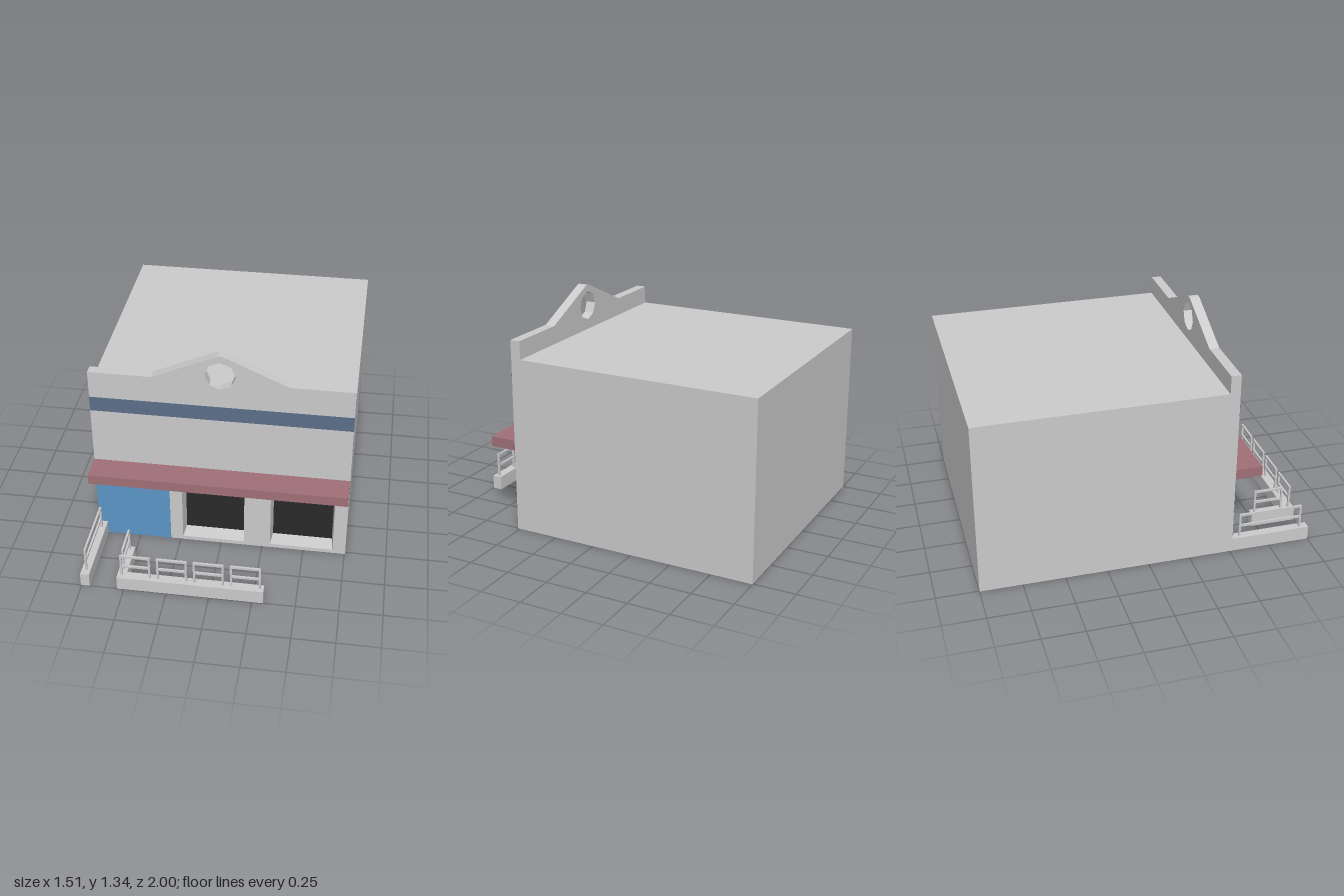
import * as THREE from 'three';

const paint = (color) => new THREE.MeshStandardMaterial({ color, flatShading: true });
const grey = paint(0xcccccc), blue = paint(0x5b96c8), navy = paint(0x5b6f8a);
const red = paint(0xa07077), dark = paint(0x2a2a2a);

const W = 0.755, FRONT = 0.515, INNER = 0.42, ROOF = 1.06;

function add(parent, name, geometry, material = grey) {
  const mesh = new THREE.Mesh(geometry, material);
  mesh.name = name;
  parent.add(mesh);
  return mesh;
}

// Box given by its lower and upper limits on each axis
function block(parent, name, x0, x1, y0, y1, z0, z1, material) {
  const mesh = add(parent, name, new THREE.BoxGeometry(x1 - x0, y1 - y0, z1 - z0), material);
  mesh.position.set((x0 + x1) / 2, (y0 + y1) / 2, (z0 + z1) / 2);
  return mesh;
}

const outline = (points) => points.map(([x, y]) => new THREE.Vector2(x, y));
const corners = (x0, x1, y0, y1) => [[x0, y0], [x1, y0], [x1, y1], [x0, y1]];

function plate(parent, name, points, holes, z0, z1) {
  const shape = new THREE.Shape(outline(points));
  shape.holes = holes.map((h) => new THREE.Path(outline(h)));
  const geometry = new THREE.ExtrudeGeometry(shape, { depth: z1 - z0, bevelEnabled: false });
  add(parent, name, geometry).position.z = z0;
}

// Recessed window with slightly tapering reveals
function addWindow(parent, x0, x1, y0, y1) {
  const group = new THREE.Group();
  group.name = 'shopWindow';
  parent.add(group);
  const back = INNER + 0.01;
  const inner = [x0 + 0.01, x1 - 0.01, y0 + 0.015, y1 - 0.01];
  const outerRing = corners(x0, x1, y0, y1).map(([x, y]) => [x, y, FRONT]);
  const innerRing = corners(...inner).map(([x, y]) => [x, y, back]);
  const positions = [];
  for (let i = 0; i < 4; i++) {
    const j = (i + 1) % 4;
    positions.push(...outerRing[i], ...outerRing[j], ...innerRing[j],
      ...outerRing[i], ...innerRing[j], ...innerRing[i]);
  }
  const reveal = new THREE.BufferGeometry();
  reveal.setAttribute('position', new THREE.Float32BufferAttribute(positions, 3));
  reveal.computeVertexNormals();
  add(group, 'windowReveal', reveal);
  block(group, 'windowGlass', ...inner, back - 0.005, back, dark);
}

// Two-post railing of given length along x, with a top and a middle rail
function addRailing(parent, length, x, z, turned) {
  const group = new THREE.Group();
  group.name = 'railing';
  const h = length / 2, t = 0.006;
  for (const s of [-1, 1]) {
    const px = s * (h - t);
    block(group, 'railingPost', px - t, px + t, 0.08, 0.22, -t, t);
  }
  block(group, 'topRail', -h, h, 0.22, 0.233, -t, t);
  block(group, 'middleRail', -h + 2 * t, h - 2 * t, 0.148, 0.161, -t, t);
  group.position.set(x, 0, z);
  if (turned) group.rotation.y = Math.PI / 2;
  parent.add(group);
}

export function createModel() {
  const model = new THREE.Group();
  model.name = 'shopBuilding';

  // Main hall and front wall with window openings
  block(model, 'mainHall', -W, W, 0, ROOF, -1, INNER);
  const windows = [[-0.235, 0.14, 0.025, 0.37], [0.298, 0.677, 0.025, 0.37]];
  plate(model, 'frontWall', corners(-W, W, 0, ROOF), windows.map((w) => corners(...w)), INNER, FRONT);
  windows.forEach((w) => addWindow(model, ...w));

  // Gabled parapet with an eight-sided opening
  const rise = [[W, 1.17], [0.388, 1.17], [0.04, 1.326], [0.022, 1.334], [0.008, 1.338]];
  const mirrored = rise.map(([x, y]) => [-x, y]).reverse();
  const octagon = Array.from({ length: 8 }, (_, i) => {
    const a = (i * Math.PI) / 4;
    return [0.088 * Math.cos(a), 1.209 + 0.088 * Math.sin(a)];
  });
  plate(model, 'parapet', [[-W, ROOF], [W, ROOF], ...rise, ...mirrored], [octagon], 0.455, FRONT);

  // Painted facade areas and canopy
  block(model, 'blueWallPanel', -W, -0.31, 0, 0.5, FRONT - 0.002, FRONT + 0.001, blue);
  block(model, 'facadeBand', -W, W, 0.91, 1.003, FRONT - 0.002, FRONT + 0.001, navy);
  block(model, 'canopy', -W, W, 0.5, 0.56, FRONT, 0.677, red);

  // Low walls around the entrance
  const kerb = 0.085;
  block(model, 'sideKerb', -W, -0.702, 0, kerb, FRONT, 1);
  plate(model, 'frontKerb', corners(-0.54, 0.315, 0, kerb), [], 0.942, 1);
  block(model, 'returnKerb', -0.54, -0.487, 0, kerb, 0.722, 0.942);

  // Railings on the low walls
  for (let i = 0; i < 4; i++) addRailing(model, 0.178, -0.432 + i * 0.2135, 0.969);
  addRailing(model, 0.185, -0.514, 0.832, true);
  addRailing(model, 0.395, -0.729, 0.759, true);

  return model;
}
